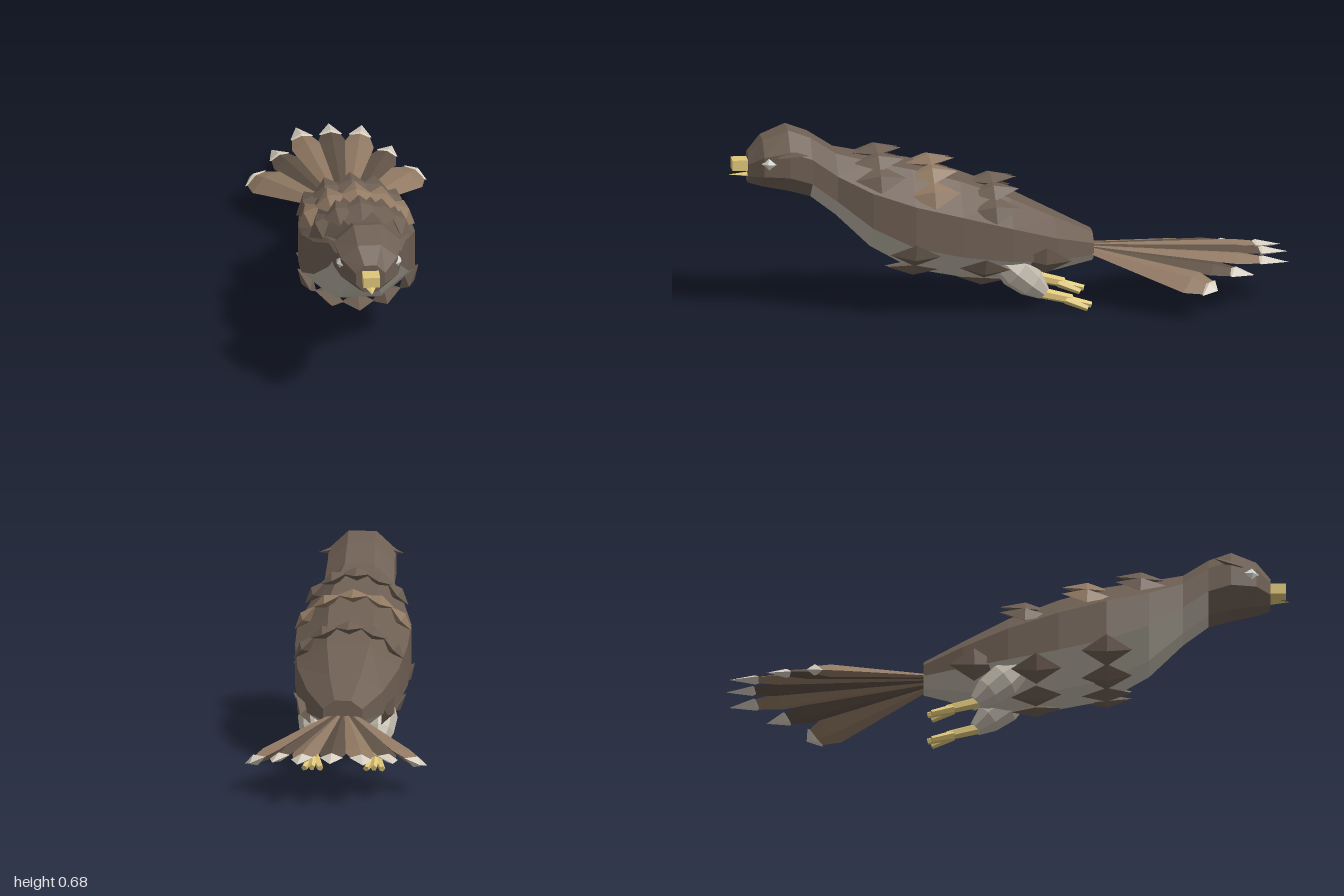
import * as THREE from 'three';

const mat = (name, color) => {
  const m = new THREE.MeshStandardMaterial({ color, flatShading: true });
  m.name = name;
  return m;
};

// Body stations, front to back: z, top y, bottom y, half width
const STATIONS = [
  [0.93, 0.59, 0.485, 0.052], [0.88, 0.645, 0.475, 0.1], [0.79, 0.68, 0.458, 0.12],
  [0.71, 0.65, 0.435, 0.118], [0.62, 0.59, 0.365, 0.125], [0.5, 0.56, 0.25, 0.168],
  [0.35, 0.53, 0.165, 0.202], [0.18, 0.48, 0.13, 0.2], [0, 0.41, 0.118, 0.18],
  [-0.16, 0.33, 0.135, 0.135], [-0.3, 0.262, 0.16, 0.07],
];

// Centre height, half height and half width of the body at z
function section(z) {
  let i = 0;
  while (i < STATIONS.length - 2 && STATIONS[i + 1][0] > z) i++;
  const a = STATIONS[i], b = STATIONS[i + 1], t = (a[0] - z) / (a[0] - b[0]);
  const [top, bottom, hw] = [1, 2, 3].map((k) => a[k] + (b[k] - a[k]) * t);
  return { cy: (top + bottom) / 2, hh: (top - bottom) / 2, hw };
}

// Octagonal loft keeping only the wall faces accepted by pick(station, side)
function loft(pick, caps) {
  const pos = [], idx = [], n = STATIONS.length;
  const k = 1 / Math.cos(Math.PI / 8);
  for (const [z, top, bottom, hw] of STATIONS) {
    for (let j = 0; j < 8; j++) {
      const a = (j + 0.5) * Math.PI / 4;
      pos.push(Math.cos(a) * hw * k, (top + bottom) / 2 + Math.sin(a) * (top - bottom) / 2 * k, z);
    }
  }
  for (let i = 0; i < n - 1; i++) {
    for (let j = 0; j < 8; j++) {
      if (!pick(i, j)) continue;
      const a = i * 8 + j, b = i * 8 + (j + 1) % 8, c = b + 8, d = a + 8;
      idx.push(a, d, c, a, c, b);
    }
  }
  if (caps) {
    const e = (n - 1) * 8;
    for (let j = 1; j < 7; j++) idx.push(0, j, j + 1, e, e + j + 1, e + j);
  }
  const g = new THREE.BufferGeometry();
  g.setAttribute('position', new THREE.Float32BufferAttribute(pos, 3));
  g.setIndex(idx);
  g.computeVertexNormals();
  return g;
}

// Flat four-sided blade along -z with [half width, distance] profile
function blade(profile, flat) {
  const g = new THREE.LatheGeometry(profile.map(([r, d]) => new THREE.Vector2(r, d)), 4);
  g.scale(1, 1, flat);
  g.rotateX(-Math.PI / 2);
  return g;
}

export function createModel() {
  const root = new THREE.Group();
  const brown = mat('brown plumage', 0x6e5f53);
  const tan = mat('tan feathers', 0x927a64);
  const dark = mat('dark tail feathers', 0x5f5145);
  const pale = mat('pale belly and thighs', 0xc0b9ab);
  const cream = mat('cream tail tip', 0xd6cec0);
  const yellow = mat('yellow beak and feet', 0xdec678);
  const eyeWhite = mat('eye white', 0xd8d8d4);

  const add = (name, geometry, material, parent = root) => {
    const m = new THREE.Mesh(geometry, material);
    m.name = name;
    parent.add(m);
    return m;
  };
  // Stretched diamond with half sizes sx, sy, sz
  const diamond = (sx, sy, sz) => new THREE.OctahedronGeometry(1).scale(sx, sy, sz);
  // Tapered rod between two points
  const rod = (name, a, b, ra, rb, sides, material, parent) => {
    const A = new THREE.Vector3(...a), B = new THREE.Vector3(...b);
    const d = B.clone().sub(A);
    const m = add(name, new THREE.CylinderGeometry(rb, ra, d.length(), sides), material, parent);
    m.position.copy(A).add(B).multiplyScalar(0.5);
    m.quaternion.setFromUnitVectors(new THREE.Vector3(0, 1, 0), d.normalize());
  };

  // Head, back and belly
  const isBelly = (i, j) => i >= 3 && j >= 4 && j <= 6;
  add('headAndBack', loft((i, j) => !isBelly(i, j), true), brown);
  add('belly', loft(isBelly, false), pale);

  // Beak
  add('upperBeak', new THREE.BoxGeometry(0.06, 0.038, 0.065), yellow).position.set(0, 0.55, 0.953);
  add('lowerBeak', diamond(0.025, 0.009, 0.075), yellow).position.set(0, 0.511, 0.925);

  // Body feathers in rows: z, material, angles around the body in degrees
  const featherGeo = diamond(0.058, 0.024, 0.09);
  const rows = [
    [0.47, brown, [40, 65, 90, 115, 140]],
    [0.28, tan, [38, 64, 90, 116, 142]],
    [0.06, brown, [38, 64, 90, 116, 142]],
    [0.35, brown, [-33, -62, -90, -118, -147]],
    [0.1, brown, [-38, -73, -107, -142]],
    [-0.12, brown, [-20, -160]],
  ];
  for (const [z, material, angles] of rows) {
    const { cy, hh, hw } = section(z);
    for (const deg of angles) {
      const a = deg * Math.PI / 180;
      const f = add(deg > 0 ? 'backFeather' : 'bellyFeather', featherGeo, material);
      const lift = deg > 0 ? 0.028 : 0.016;
      f.position.set(Math.cos(a) * (hw + 0.014), cy + Math.sin(a) * (hh + lift), z);
      f.rotation.set(0.08, 0, Math.atan2(Math.sin(a) * hw, Math.cos(a) * hh) - Math.PI / 2, 'ZXY');
    }
  }

  // Tail fan: end x, y, z of each vane, half width, tip length, material
  const fan = [
    [0, 0.165, -0.9, 0.055, 0.1, dark], [0.103, 0.16, -0.89, 0.055, 0.1, tan],
    [0.19, 0.145, -0.78, 0.052, 0.08, dark], [0.282, 0.115, -0.68, 0.066, 0.04, tan],
  ];
  fan.forEach(([x, y, z, w, tip, material], i) => {
    for (const s of i ? [1, -1] : [1]) {
      const start = new THREE.Vector3(s * i * 0.013, 0.205, -0.27);
      const d = new THREE.Vector3(s * x, y, z).sub(start);
      const L = d.length();
      const g = new THREE.Group();
      g.name = 'tailFeather';
      add('vane', blade([[0, 0], [0.016, 0.01], [w, L * 0.87], [w * 0.65, L], [0, L]], 0.34), material, g);
      add('tailTip', blade([[0, L - 0.04], [w * 0.75, L + 0.005], [0, L + tip]], 0.42), cream, g);
      g.position.copy(start);
      g.rotation.set(Math.asin(d.y / L), Math.atan2(-d.x, -d.z), -s * i * 0.12, 'YXZ');
      root.add(g);
    }
  });

  for (const s of [1, -1]) {
    const side = s > 0 ? 'left' : 'right';

    // Brow tuft and eye
    const brow = add(side + 'Brow', diamond(0.03, 0.016, 0.105), brown);
    brow.position.set(s * 0.094, 0.606, 0.815);
    brow.rotation.set(0.06, -s * 0.58, -s * 0.4, 'YXZ');
    const eye = add(side + 'Eye', diamond(0.012, 0.021, 0.028), eyeWhite);
    eye.position.set(s * 0.104, 0.572, 0.864);
    eye.rotation.y = -s * 0.35;

    // Leg: thigh, shank and three toes
    const leg = new THREE.Group();
    leg.name = side + 'Leg';
    const thigh = add('thigh', new THREE.LatheGeometry(
      [[0, 0], [0.027, 0], [0.054, 0.06], [0.064, 0.13], [0.045, 0.21], [0, 0.22]]
        .map(([r, h]) => new THREE.Vector2(r, h)), 8), pale, leg);
    thigh.position.set(s * 0.113, 0.068, -0.115);
    thigh.rotation.x = 0.86;
    rod('shank', [s * 0.11, 0.072, -0.09], [s * 0.11, 0.04, -0.215], 0.021, 0.018, 6, yellow, leg);
    for (const t of [-1, 0, 1]) {
      rod('toe', [s * 0.11 + t * 0.006, 0.041, -0.195], [s * 0.11 + t * 0.029, t ? 0.013 : 0.018, t ? -0.27 : -0.285],
        0.016, 0.011, 5, yellow, leg);
    }
    root.add(leg);
  }
  return root;
}
